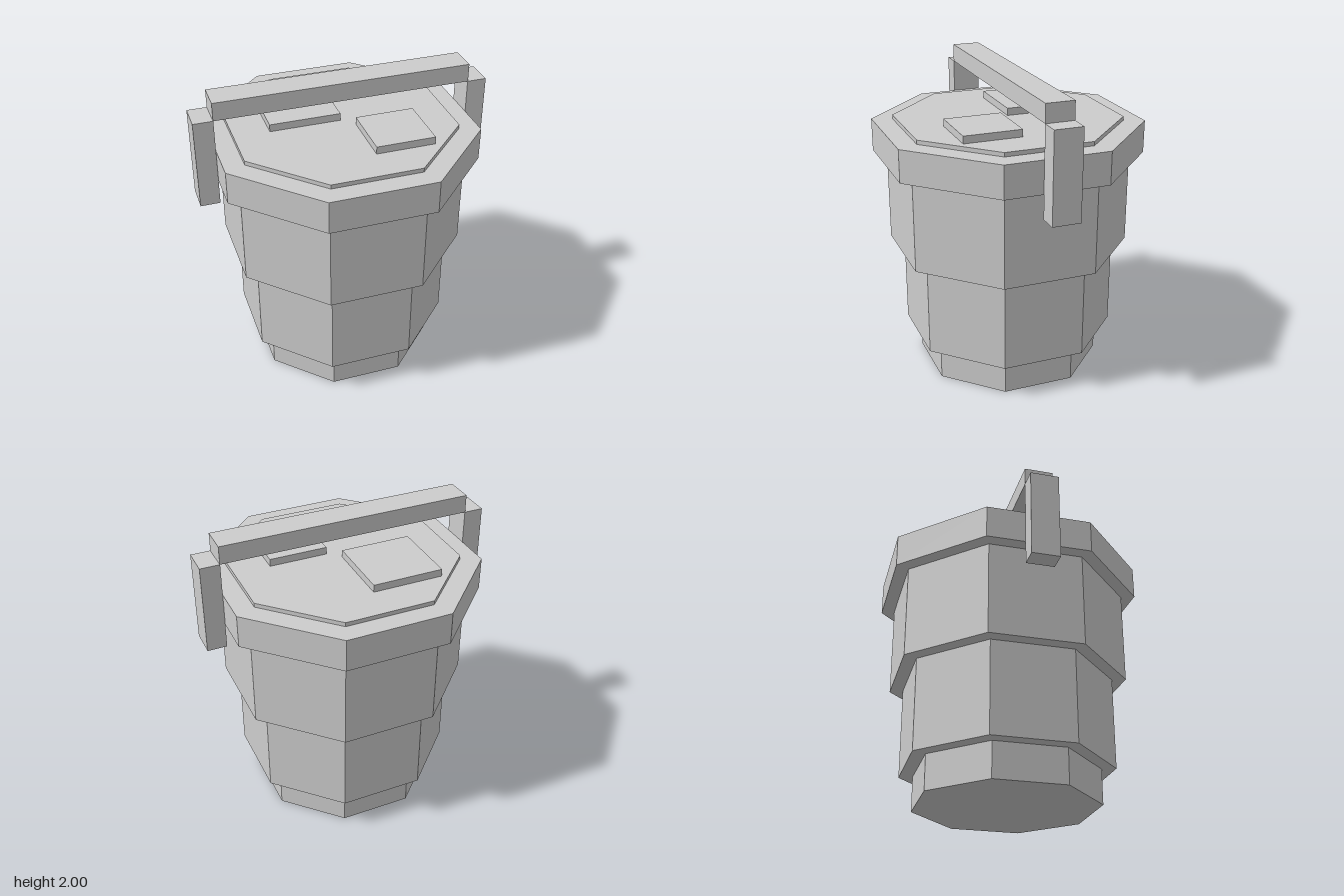
import * as THREE from 'three';

export function createModel() {
  const model = new THREE.Group();
  const grey = new THREE.MeshStandardMaterial({ color: 0xcccccc, flatShading: true });
  grey.name = 'light grey';

  const add = (name, geometry, x, y, z) => {
    const mesh = new THREE.Mesh(geometry, grey);
    mesh.name = name;
    mesh.position.set(x, y, z);
    model.add(mesh);
  };

  // Regular octagonal tier with flats facing the axes; r is the distance to a flat
  const tier = (name, r, y0, y1) => {
    const radius = r / Math.cos(Math.PI / 8);
    const geometry = new THREE.CylinderGeometry(radius, radius, y1 - y0, 8, 1, false, Math.PI / 8);
    add(name, geometry, 0, (y0 + y1) / 2, 0);
  };

  // Box given by its limits on each axis
  const block = (name, x0, x1, y0, y1, z0, z1) =>
    add(name, new THREE.BoxGeometry(x1 - x0, y1 - y0, z1 - z0),
      (x0 + x1) / 2, (y0 + y1) / 2, (z0 + z1) / 2);

  // Stepped bucket body and lid
  tier('base', 0.564, 0, 0.232);
  tier('lowerBody', 0.65, 0.232, 0.842);
  tier('upperBody', 0.734, 0.842, 1.455);
  tier('rim', 0.818, 1.455, 1.668);
  tier('lid', 0.69, 1.668, 1.695);

  // Raised pads on the lid
  block('backPad', -0.46, 0, 1.695, 1.743, -0.46, 0);
  block('frontPad', 0.076, 0.456, 1.695, 1.743, 0.076, 0.456);

  // Carrying handle
  block('handleBar', -0.822, 0.822, 1.882, 2, -0.092, 0.092);
  block('leftHandleArm', 0.82, 0.946, 1.3, 1.882, -0.092, 0.092);
  block('rightHandleArm', -0.946, -0.82, 1.3, 1.882, -0.092, 0.092);

  return model;
}
